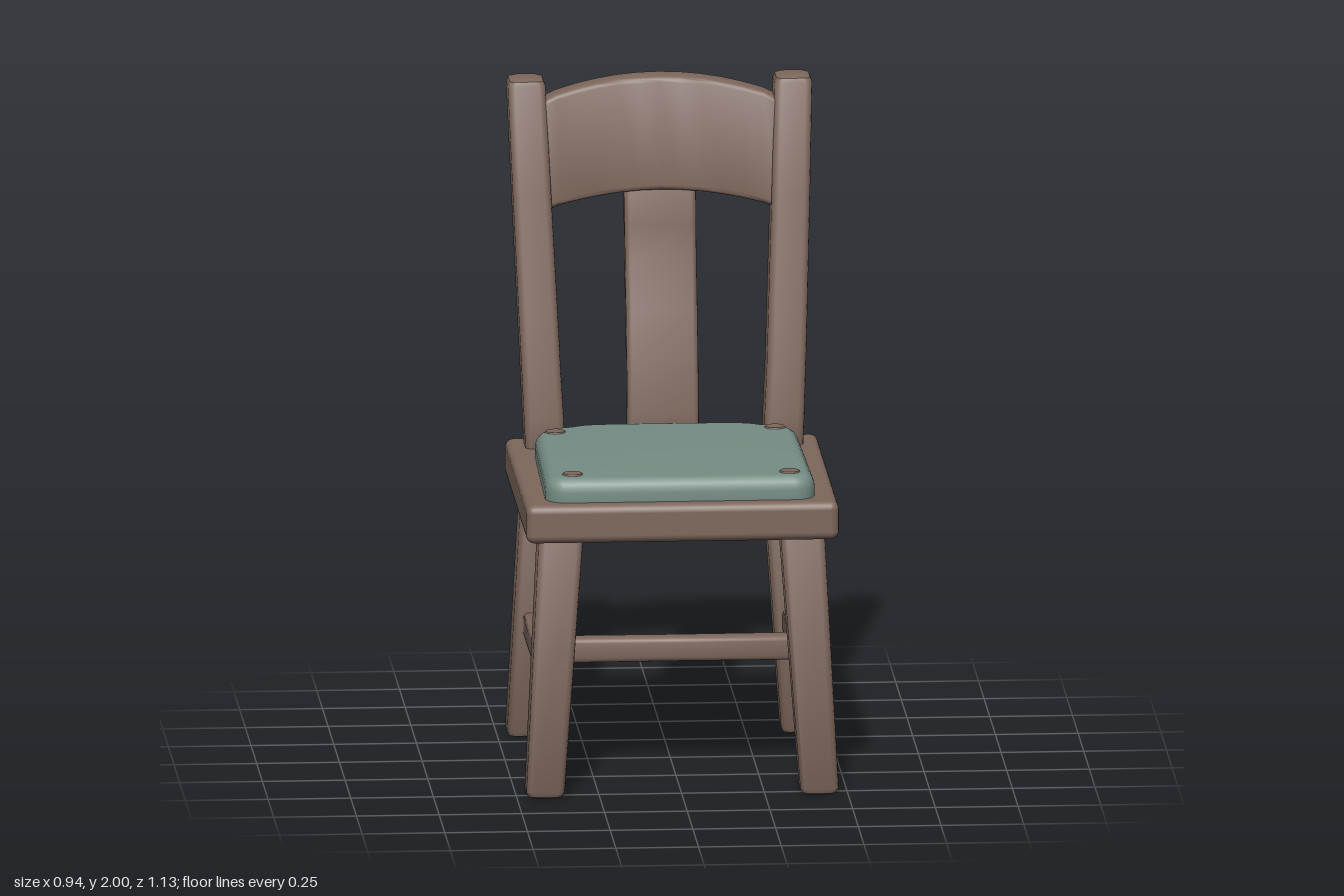
import * as THREE from 'three';
import { toCreasedNormals } from 'three/addons/utils/BufferGeometryUtils.js';
import { RoundedBoxGeometry } from 'three/addons/geometries/RoundedBoxGeometry.js';

// Rounded bar lofted along 'x', 'y' or 'z'. Stations: [t, a, b, halfA, halfB],
// where (a, b) is (y, z) for x, (z, x) for y and (x, y) for z.
// lean tilts the section: b shifts by lean * (offset along a).
function bar(axis, stations, r = 0.02, lean = 0) {
  const first = stations[0], last = stations[stations.length - 1];
  const end = (s, dir) => [0, 0.5, 1].map((k) => {
    const ang = k * Math.PI / 2, inset = r * (1 - Math.sin(ang));
    return [s[0] + dir * r * (1 - Math.cos(ang)), s[1], s[2], s[3] - inset, s[4] - inset];
  });
  const rings = [...end(first, 1), ...stations.slice(1, -1), ...end(last, -1).reverse()];
  const pos = [], idx = [], N = 16;
  const put = (a, b, t) => pos.push(...(axis === 'x' ? [t, a, b] : axis === 'y' ? [b, t, a] : [a, b, t]));
  for (const [t, a, b, ha, hb] of rings) {
    for (let c = 0; c < 4; c++) {
      const sa = c === 0 || c === 3 ? 1 : -1, sb = c < 2 ? 1 : -1;
      for (let k = 0; k < 4; k++) {
        const ang = (c + k / 3) * Math.PI / 2;
        const da = sa * (ha - r) + r * Math.cos(ang);
        const db = sb * (hb - r) + r * Math.sin(ang);
        put(a + da, b + db + lean * da, t);
      }
    }
  }
  for (let i = 0; i < rings.length - 1; i++) {
    for (let j = 0; j < N; j++) {
      const p = i * N + j, q = i * N + (j + 1) % N;
      idx.push(p, q, q + N, p, q + N, p + N);
    }
  }
  const c0 = pos.length / 3, top = (rings.length - 1) * N;
  put(first[1], first[2], first[0]);
  put(last[1], last[2], last[0]);
  for (let j = 0; j < N; j++) {
    const k = (j + 1) % N;
    idx.push(c0, k, j, c0 + 1, top + j, top + k);
  }
  const g = new THREE.BufferGeometry();
  g.setAttribute('position', new THREE.Float32BufferAttribute(pos, 3));
  g.setIndex(idx);
  return toCreasedNormals(g, 0.7);
}

// Cushion outline with rounded front corners and back corners cut for the posts
function cushionGeometry() {
  const s = new THREE.Shape();
  s.moveTo(-0.34, -0.485);
  s.lineTo(0.34, -0.485);
  s.quadraticCurveTo(0.37, -0.485, 0.37, -0.45);
  s.lineTo(0.362, 0.13);
  s.quadraticCurveTo(0.355, 0.2, 0.28, 0.21);
  s.quadraticCurveTo(0.25, 0.24, 0.18, 0.242);
  s.lineTo(-0.18, 0.242);
  s.quadraticCurveTo(-0.25, 0.24, -0.28, 0.21);
  s.quadraticCurveTo(-0.355, 0.2, -0.365, 0.13);
  s.lineTo(-0.375, -0.45);
  s.quadraticCurveTo(-0.375, -0.485, -0.34, -0.485);
  const g = new THREE.ExtrudeGeometry(s, {
    depth: 0.04, bevelThickness: 0.043, bevelSize: 0.035, bevelSegments: 5, curveSegments: 6,
  });
  g.rotateX(-Math.PI / 2);
  g.translate(0, 0.895, 0);
  return toCreasedNormals(g, 0.8);
}

export function createModel() {
  const model = new THREE.Group();
  model.name = 'chair';
  const material = (name, color) => {
    const m = new THREE.MeshStandardMaterial({ color });
    m.name = name;
    return m;
  };
  const wood = material('brown wood', 0x7d675c);
  const fabric = material('green fabric', 0x758c83);
  const add = (name, geometry, mat = wood) => {
    const mesh = new THREE.Mesh(geometry, mat);
    mesh.name = name;
    model.add(mesh);
    return mesh;
  };

  // Seat and cushion
  add('seat', new RoundedBoxGeometry(0.945, 0.118, 0.975, 3, 0.025)).position.set(0, 0.847, 0.078);
  add('cushion', cushionGeometry(), fabric);

  // Buttons on the cushion
  for (const [x, z] of [[-0.338, -0.145], [0.328, -0.17], [-0.326, 0.445], [0.33, 0.45]]) {
    add('cushionButton', new THREE.CylinderGeometry(0.029, 0.034, 0.008, 16)).position.set(x, 0.978, z);
  }

  for (const side of [1, -1]) {
    const label = side > 0 ? 'left' : 'right';
    // Splayed legs
    add(label + 'FrontLeg', bar('y', [
      [0, 0.505, side * 0.414, 0.06, 0.058], [0.82, 0.463, side * 0.365, 0.066, 0.067]]));
    add(label + 'BackLeg', bar('y', [
      [0, -0.351, side * 0.414, 0.06, 0.058], [0.82, -0.298, side * 0.365, 0.066, 0.067]]));
    // Back posts
    add(label + 'BackPost', bar('y', [
      [0.86, -0.302, side * 0.359, 0.067, 0.06],
      [1.0, -0.312, side * 0.364, 0.066, 0.06],
      [1.15, -0.331, side * 0.371, 0.064, 0.059],
      [1.3, -0.358, side * 0.377, 0.063, 0.059],
      [1.65, -0.426, side * 0.391, 0.062, 0.058],
      [2.0, -0.495, side * 0.403, 0.061, 0.057]]));
    // Side stretchers
    add(label + 'Stretcher', bar('z', [
      [-0.32, side * 0.392, 0.355, 0.034, 0.04], [0.08, side * 0.392, 0.355, 0.034, 0.036],
      [0.48, side * 0.392, 0.355, 0.034, 0.04]], 0.015));
  }

  // Cross stretcher
  add('crossStretcher', bar('x', [
    [-0.39, 0.357, 0.08, 0.038, 0.034], [0, 0.357, 0.08, 0.037, 0.034],
    [0.39, 0.357, 0.08, 0.038, 0.034]], 0.015));

  // Arched, bowed top rail
  const rail = [];
  for (let i = 0; i <= 12; i++) {
    const x = -0.375 + i * 0.0625, u = (x / 0.35) ** 2;
    rail.push([x, 1.828 - 0.053 * u, -0.493 + 0.036 * u, 0.17 - 0.004 * u, 0.046]);
  }
  add('topRail', bar('x', rail, 0.016, -0.16));

  // Curved back splat
  add('backSplat', bar('y', [
    [0.87, -0.33, 0, 0.034, 0.108], [1.0, -0.338, 0, 0.034, 0.108],
    [1.15, -0.36, 0, 0.034, 0.108], [1.3, -0.396, 0, 0.034, 0.108],
    [1.45, -0.438, 0, 0.034, 0.108], [1.55, -0.456, 0, 0.034, 0.108],
    [1.72, -0.475, 0, 0.034, 0.108]], 0.015));

  return model;
}
